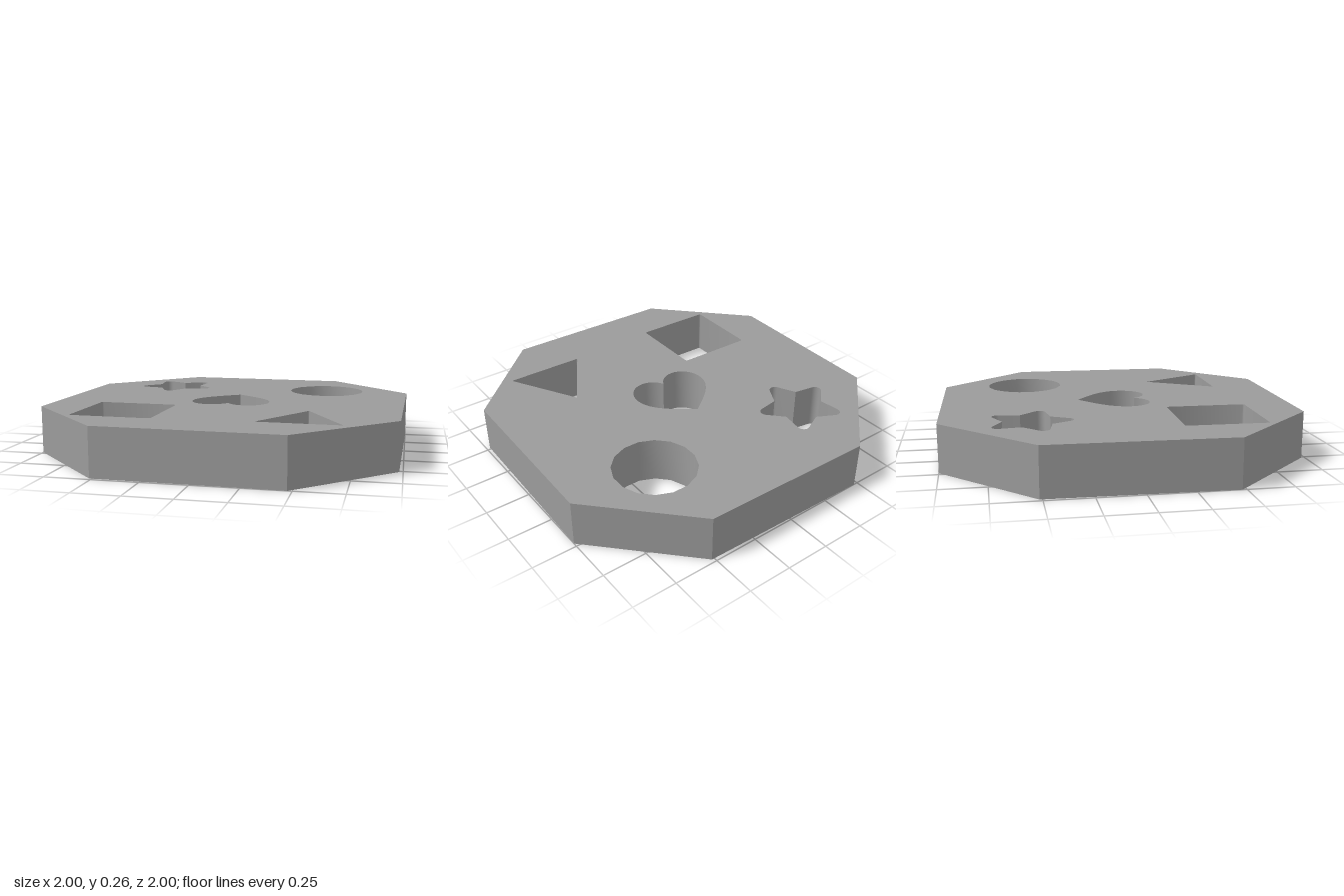
import * as THREE from 'three';
import { toCreasedNormals } from 'three/addons/utils/BufferGeometryUtils.js';

const HEIGHT = 0.265;
const TILT = 0.02; // the whole plate is turned very slightly

const V = (x, z) => new THREE.Vector2(x, z);

// Closed outline whose convex corners are rounded; radius(i) gives each corner's radius.
function roundedPath(points, radius) {
  const path = new THREE.Path();
  const n = points.length;
  points.forEach((p, i) => {
    const r = radius(i);
    const u = points[(i + n - 1) % n].clone().sub(p).normalize();
    const v = points[(i + 1) % n].clone().sub(p).normalize();
    const half = Math.acos(u.dot(v)) / 2;
    const d = r / Math.tan(half);
    const c = d - (4 / 3) * Math.tan((Math.PI - 2 * half) / 4) * r;
    const at = (dir, s) => p.clone().addScaledVector(dir, s);
    const start = at(u, d), end = at(v, d), c1 = at(u, c), c2 = at(v, c);
    if (i === 0) path.moveTo(start.x, start.y);
    else path.lineTo(start.x, start.y);
    if (r > 0) path.bezierCurveTo(c1.x, c1.y, c2.x, c2.y, end.x, end.y);
  });
  path.closePath();
  return path;
}

// Points on a circle; radius(i) may vary to make a star.
function ring(cx, cz, n, start, radius) {
  return Array.from({ length: n }, (_, i) => {
    const a = start + (i / n) * Math.PI * 2;
    return V(cx + radius(i) * Math.cos(a), cz + radius(i) * Math.sin(a));
  });
}

function heartHole() {
  const h = new THREE.Path();
  h.moveTo(0, -0.205);
  h.bezierCurveTo(0.1, -0.13, 0.226, -0.05, 0.226, 0.067);
  h.bezierCurveTo(0.226, 0.145, 0.17, 0.203, 0.107, 0.203);
  h.bezierCurveTo(0.06, 0.203, 0.02, 0.175, -0.003, 0.13);
  h.bezierCurveTo(-0.024, 0.175, -0.065, 0.2, -0.11, 0.2);
  h.bezierCurveTo(-0.173, 0.2, -0.229, 0.145, -0.229, 0.067);
  h.bezierCurveTo(-0.229, -0.05, -0.1, -0.13, 0, -0.205);
  return h;
}

export function createModel() {
  // Octagonal outline: two corners repeated by quarter turns
  const outline = [];
  for (let k = 0, a = V(-0.476, -1), b = V(0.515, -0.98); k < 4; k++) {
    outline.push(a, b);
    a = V(-a.y, a.x);
    b = V(-b.y, b.x);
  }
  const plate = new THREE.Shape(outline);

  // Cut-outs for the sorting shapes
  const star = ring(-0.486, -0.523, 10, Math.PI / 2 + TILT, (i) => (i % 2 ? 0.142 : 0.275));
  const square = [V(-0.727, 0.253), V(-0.276, 0.262), V(-0.282, 0.716), V(-0.735, 0.706)];
  const triangle = [V(0.488, 0.309), V(0.706, 0.702), V(0.257, 0.693)];
  const circle = ring(0.502, -0.486, 16, Math.PI / 16 + TILT, () => 0.228);
  plate.holes.push(
    roundedPath(star, (i) => (i % 2 ? 0 : 0.034)),
    roundedPath(square, () => 0.014),
    roundedPath(triangle, () => 0.005),
    new THREE.Path(circle),
    heartHole(),
  );

  // Extrude, then lay flat so the outline's second axis becomes z
  let geometry = new THREE.ExtrudeGeometry(plate, { depth: HEIGHT, bevelEnabled: false, curveSegments: 8 });
  geometry.rotateX(Math.PI / 2);
  geometry.translate(0, HEIGHT, 0);
  geometry = toCreasedNormals(geometry, Math.PI / 6);

  const mesh = new THREE.Mesh(geometry, new THREE.MeshStandardMaterial({ color: 0x9b9b9b }));
  mesh.name = 'shapeSorterPlate';
  const group = new THREE.Group();
  group.name = 'shapeSorter';
  group.add(mesh);
  return group;
}
